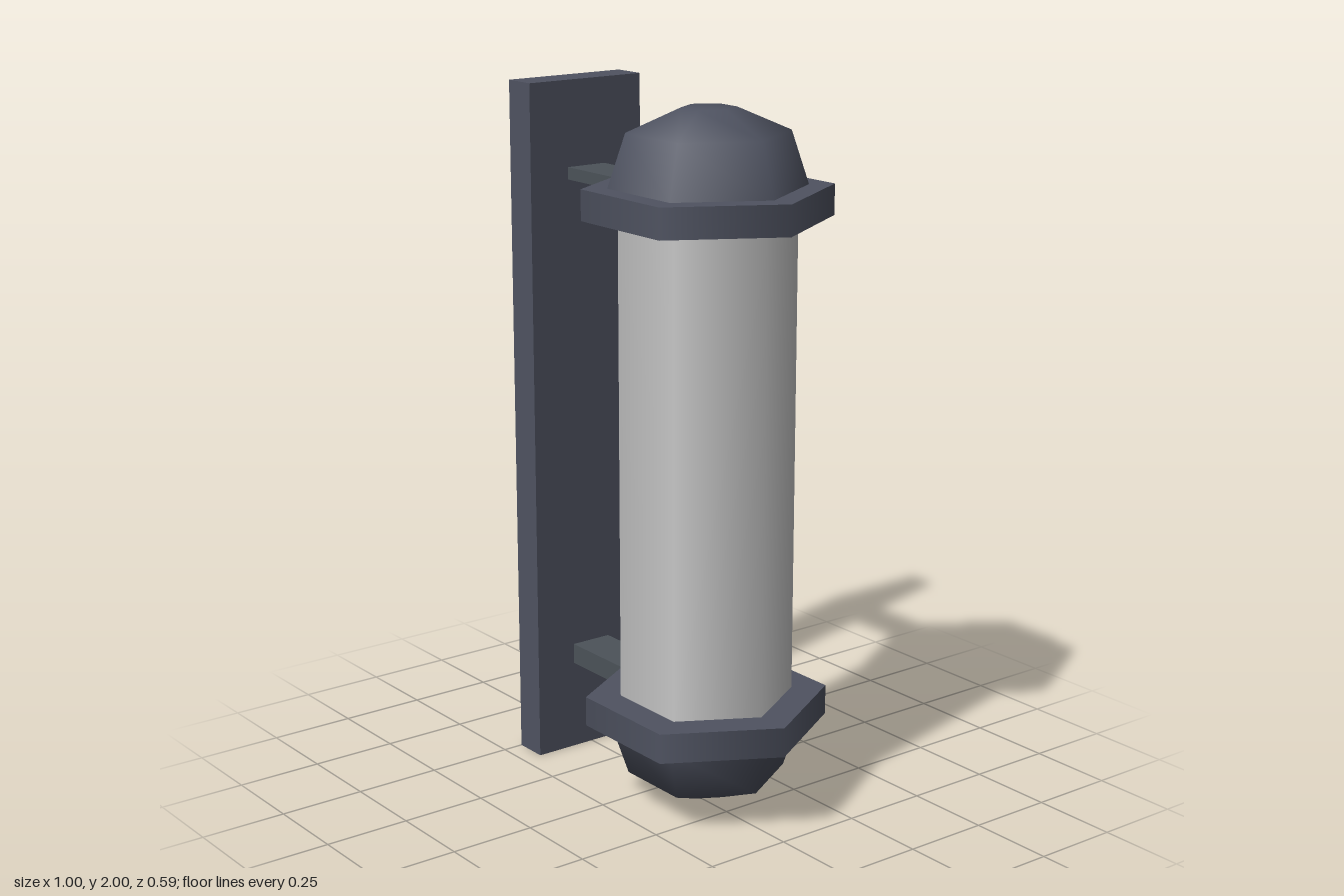
import * as THREE from 'three';

const slate = new THREE.MeshStandardMaterial({ color: 0x4f5361 });
slate.name = 'slate metal';
slate.side = THREE.DoubleSide;
const bracketMetal = new THREE.MeshStandardMaterial({ color: 0x4c5359 });
bracketMetal.name = 'bracket metal';
bracketMetal.side = THREE.DoubleSide;
const glass = new THREE.MeshStandardMaterial({ color: 0xc8c8c8 });
glass.name = 'frosted glass';

const LAMP_X = 0.157;
// heights of the two arms: [bottom, top]
const ARMS = [[0.265, 0.325], [1.72, 1.755]];
const ARM_HALF = 0.063;

// Box without the listed sides (0 +x, 1 -x, 2 +y, 3 -y, 4 +z, 5 -z)
function openBox(w, h, d, skip) {
  const g = new THREE.BoxGeometry(w, h, d);
  const index = Array.from(g.index.array).filter((_, i) => !skip.includes(Math.floor(i / 6)));
  g.setIndex(index);
  g.clearGroups();
  return g;
}

function add(parent, name, geometry, material, x, y, z = 0) {
  const mesh = new THREE.Mesh(geometry, material);
  mesh.name = name;
  mesh.position.set(x, y, z);
  parent.add(mesh);
  return mesh;
}

// Six-sided prism with a corner on +x
function hexPrism(radius, height, open = false) {
  return new THREE.CylinderGeometry(radius, radius, height, 6, 1, open, Math.PI / 2);
}

export function createModel() {
  const model = new THREE.Group();
  model.name = 'wallLamp';

  // Wall plate: a tray open towards the wall, with openings for the arms
  const plate = new THREE.Group();
  plate.name = 'wallPlate';
  model.add(plate);
  add(plate, 'plateRim', openBox(0.1, 2, 0.38, [0, 1]), slate, -0.45, 1);
  const face = new THREE.Shape();
  face.moveTo(-0.19, 0).lineTo(0.19, 0).lineTo(0.19, 2).lineTo(-0.19, 2).closePath();
  for (const [y0, y1] of ARMS) {
    const hole = new THREE.Path();
    hole.moveTo(-ARM_HALF, y0).lineTo(-ARM_HALF, y1).lineTo(ARM_HALF, y1).lineTo(ARM_HALF, y0).closePath();
    face.holes.push(hole);
  }
  add(plate, 'plateFace', new THREE.ShapeGeometry(face), slate, -0.4, 0).rotation.y = Math.PI / 2;

  // Hollow arms reaching into the collars
  ARMS.forEach(([y0, y1], i) => {
    const arm = openBox(0.3, y1 - y0, ARM_HALF * 2, [1]);
    add(model, i ? 'upperArm' : 'lowerArm', arm, bracketMetal, -0.25, (y0 + y1) / 2);
  });

  // Glass tube
  add(model, 'glassTube', hexPrism(0.243, 1.36, true), glass, LAMP_X, 1.01);

  // Hexagonal collars
  add(model, 'upperCollar', hexPrism(0.341, 0.085), slate, LAMP_X, 1.727);
  add(model, 'lowerCollar', hexPrism(0.341, 0.085), slate, LAMP_X, 0.293);

  // Faceted domes with soft shading, mirrored top and bottom
  const profile = [[0.271, 0], [0.222, 0.148], [0.075, 0.212], [0, 0.212]];
  for (const [name, sign, y] of [['upperDome', 1, 1.768], ['lowerDome', -1, 0.25]]) {
    const points = profile.map(([r, h]) => new THREE.Vector2(r, h * sign));
    if (sign < 0) points.reverse();
    add(model, name, new THREE.LatheGeometry(points, 6, Math.PI / 2), slate, LAMP_X, y);
  }

  return model;
}
